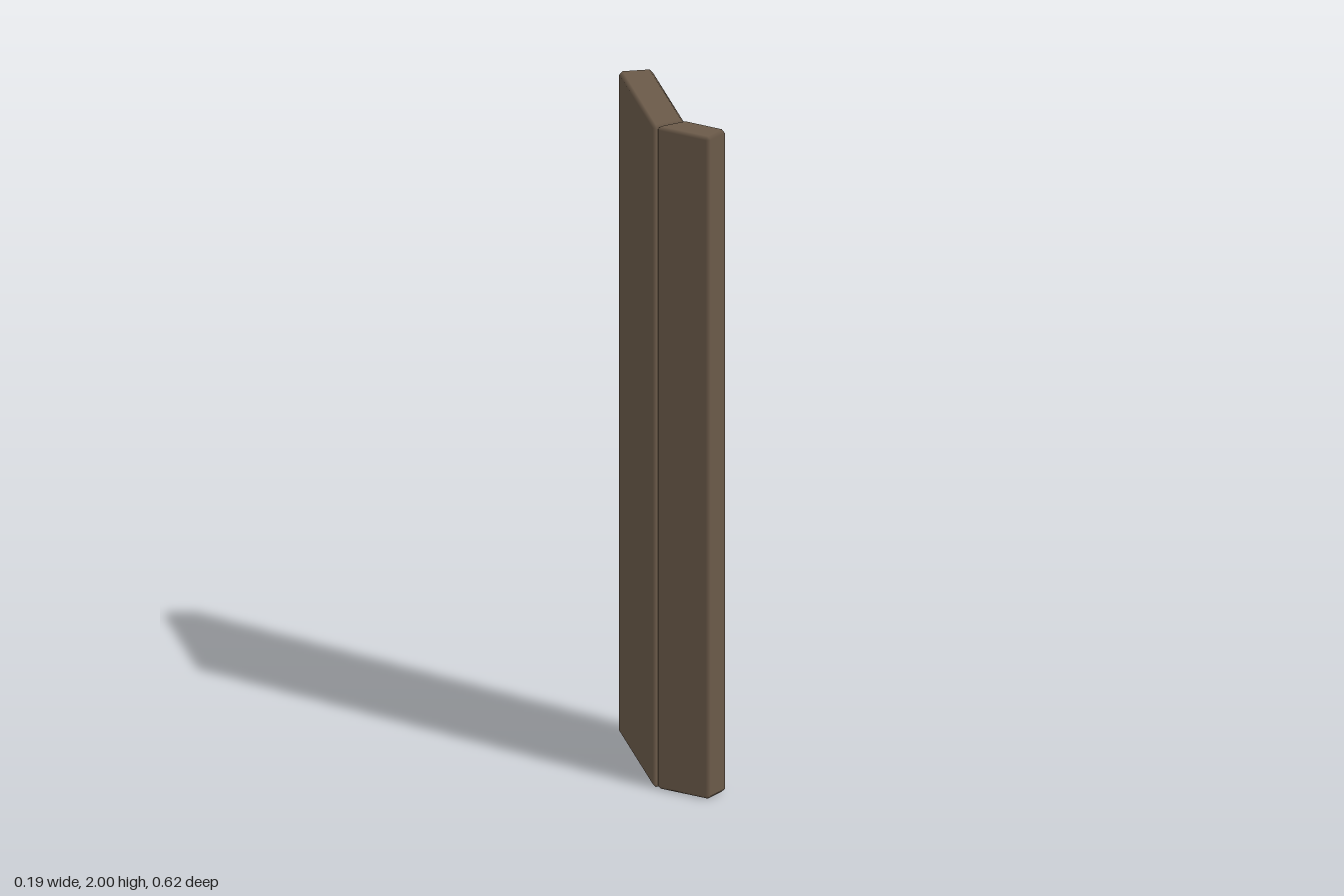
import * as THREE from 'three';

const HEIGHT = 2;
const BEVEL = 0.01;

// Upright convex prism on an [x, z] outline, with every edge softly chamfered:
// each flat face keeps its own normal, and the chamfers blend between them.
function bevelledPrism(outline) {
  const n = outline.length;
  const pts = outline.map(([x, z]) => new THREE.Vector3(x, 0, z));
  const centre = new THREE.Vector3();
  pts.forEach((p) => centre.addScaledVector(p, 1 / n));
  centre.y = HEIGHT / 2;
  const position = [], normal = [], index = [];

  const vertex = (p, y, nor) => {
    position.push(p.x, y, p.z);
    normal.push(nor.x, nor.y, nor.z);
    return position.length / 3 - 1;
  };
  const at = (i) => new THREE.Vector3().fromArray(position, i * 3);
  // Triangle turned to face away from the centre
  const tri = (a, b, c) => {
    const A = at(a);
    const face = at(b).sub(A).cross(at(c).sub(A));
    if (face.dot(A.clone().sub(centre)) < 0) index.push(a, c, b);
    else index.push(a, b, c);
  };
  const quad = (a, b, c, d) => { tri(a, b, c); tri(a, c, d); };

  const dirs = pts.map((p, i) => pts[(i + 1) % n].clone().sub(p).normalize());
  const sideNormals = dirs.map((d, i) => {
    const nor = new THREE.Vector3(d.z, 0, -d.x);
    const out = pts[i].clone().sub(centre).setY(0);
    return nor.dot(out) < 0 ? nor.negate() : nor;
  });

  // Per end and corner: one vertex on each neighbouring side and one on the cap
  const ends = [0, 1].map((top) => {
    const sideY = top ? HEIGHT - BEVEL : BEVEL;
    const capNormal = new THREE.Vector3(0, top ? 1 : -1, 0);
    return pts.map((p, i) => {
      const h = (i + n - 1) % n;
      const before = p.clone().addScaledVector(dirs[h], -BEVEL);
      const after = p.clone().addScaledVector(dirs[i], BEVEL);
      const inner = before.clone().addScaledVector(dirs[i], BEVEL);
      return {
        before: vertex(before, sideY, sideNormals[h]),
        after: vertex(after, sideY, sideNormals[i]),
        cap: vertex(inner, top ? HEIGHT : 0, capNormal),
      };
    });
  });

  for (let i = 0; i < n; i++) {
    const j = (i + 1) % n;
    const [b, t] = ends;
    quad(b[i].after, b[j].before, t[j].before, t[i].after); // side
    quad(b[i].before, b[i].after, t[i].after, t[i].before); // upright chamfer
    for (const e of ends) {
      quad(e[i].after, e[j].before, e[j].cap, e[i].cap); // rim chamfer
      tri(e[i].before, e[i].after, e[i].cap); // corner
      if (i > 0 && i < n - 1) tri(e[0].cap, e[i].cap, e[j].cap); // cap
    }
  }

  const geometry = new THREE.BufferGeometry();
  geometry.setAttribute('position', new THREE.Float32BufferAttribute(position, 3));
  geometry.setAttribute('normal', new THREE.Float32BufferAttribute(normal, 3));
  geometry.setIndex(index);
  return geometry;
}

export function createModel() {
  const group = new THREE.Group();
  group.name = 'angledPost';
  const wood = new THREE.MeshStandardMaterial({ color: 0x6b5a49 });
  wood.name = 'brown wood';

  const parts = {
    // Wide board with a mitred front edge
    mainBoard: [[-0.098, -0.314], [0, -0.314], [0, 0.151], [-0.098, 0.186]],
    // Narrow board turned 45 degrees from the mitre
    angledBoard: [[-0.094, 0.187], [0.002, 0.151], [0.102, 0.251], [0.036, 0.317]],
  };
  for (const [name, outline] of Object.entries(parts)) {
    const mesh = new THREE.Mesh(bevelledPrism(outline), wood);
    mesh.name = name;
    group.add(mesh);
  }
  return group;
}
